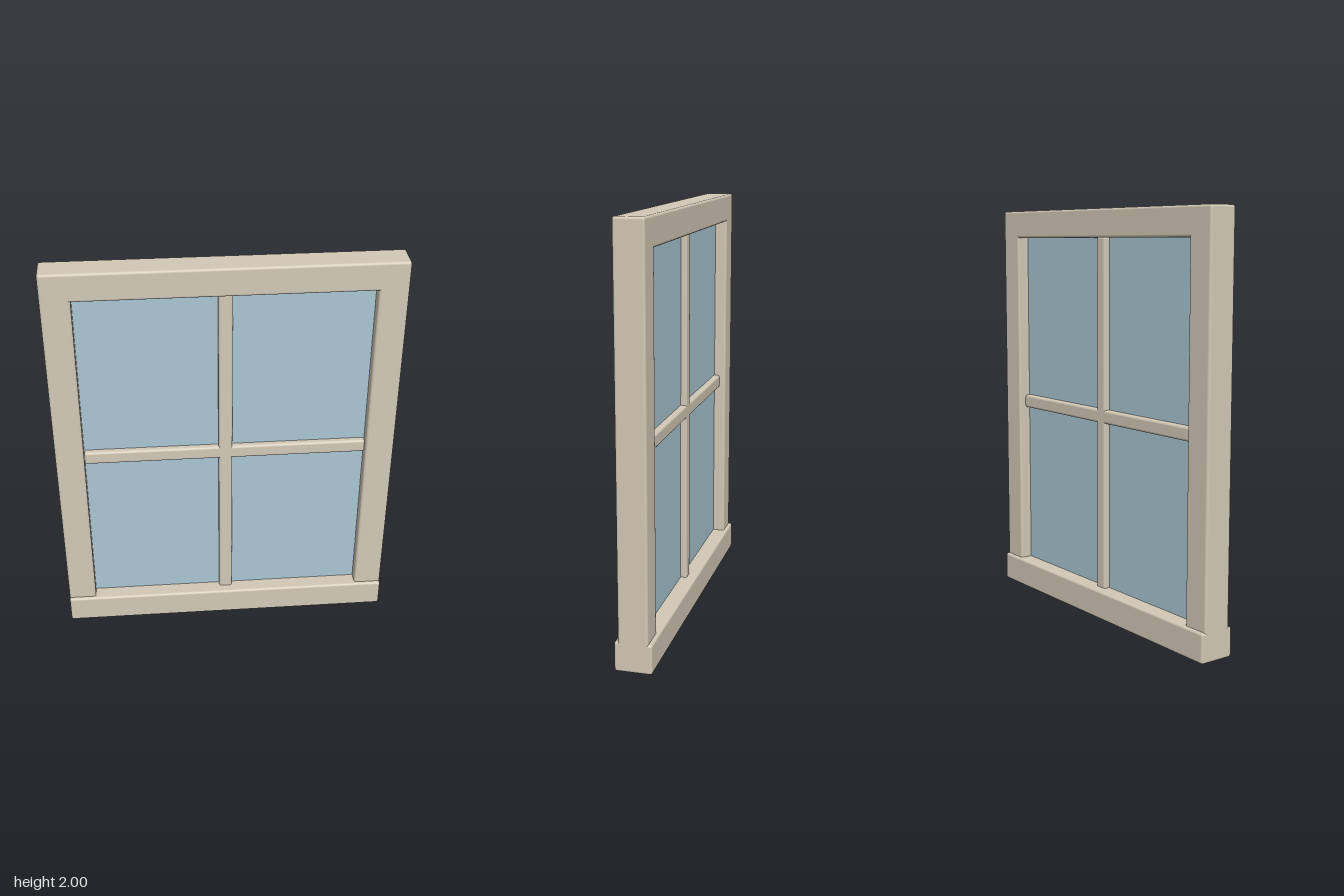
import * as THREE from 'three';
import { RoundedBoxGeometry } from 'three/addons/geometries/RoundedBoxGeometry.js';

const WIDTH = 1.64, HEIGHT = 2, MEMBER = 0.137, DEPTH = 0.14;
const SILL_DEPTH = 0.175, BAR = 0.066, BAR_DEPTH = 0.08, BEVEL = 0.012;

export function createModel() {
  const group = new THREE.Group();
  const wood = new THREE.MeshStandardMaterial({ color: 0xd2c8b6 });
  const glass = new THREE.MeshStandardMaterial({ color: 0xa9c6d4 });

  // Softly rounded wooden bar, placed by its centre
  function bar(name, w, h, d, x, y) {
    const mesh = new THREE.Mesh(new RoundedBoxGeometry(w, h, d, 3, BEVEL), wood);
    mesh.name = name;
    mesh.position.set(x, y, 0);
    group.add(mesh);
  }

  // Outer frame
  const stileX = (WIDTH - MEMBER) / 2;
  const stileBottom = 0.03;
  for (const side of [-1, 1]) {
    bar(side > 0 ? 'leftStile' : 'rightStile', MEMBER, HEIGHT - stileBottom, DEPTH,
      side * stileX, (HEIGHT + stileBottom) / 2);
  }
  bar('topRail', WIDTH, MEMBER, DEPTH, 0, HEIGHT - MEMBER / 2);
  bar('sill', WIDTH, 0.142, SILL_DEPTH, 0, 0.071);

  // Glazing bars
  const openW = WIDTH - 2 * MEMBER, openH = HEIGHT - 2 * MEMBER;
  bar('verticalGlazingBar', BAR, openH + 0.01, BAR_DEPTH, 0, HEIGHT / 2);
  bar('horizontalGlazingBar', openW, BAR, BAR_DEPTH, 0, HEIGHT / 2 + 0.003);

  // Glass sheet, tucked into the frame
  const pane = new THREE.Mesh(new THREE.BoxGeometry(openW + 0.02, openH + 0.02, 0.02), glass);
  pane.name = 'glassPane';
  pane.position.y = HEIGHT / 2;
  group.add(pane);

  return group;
}
